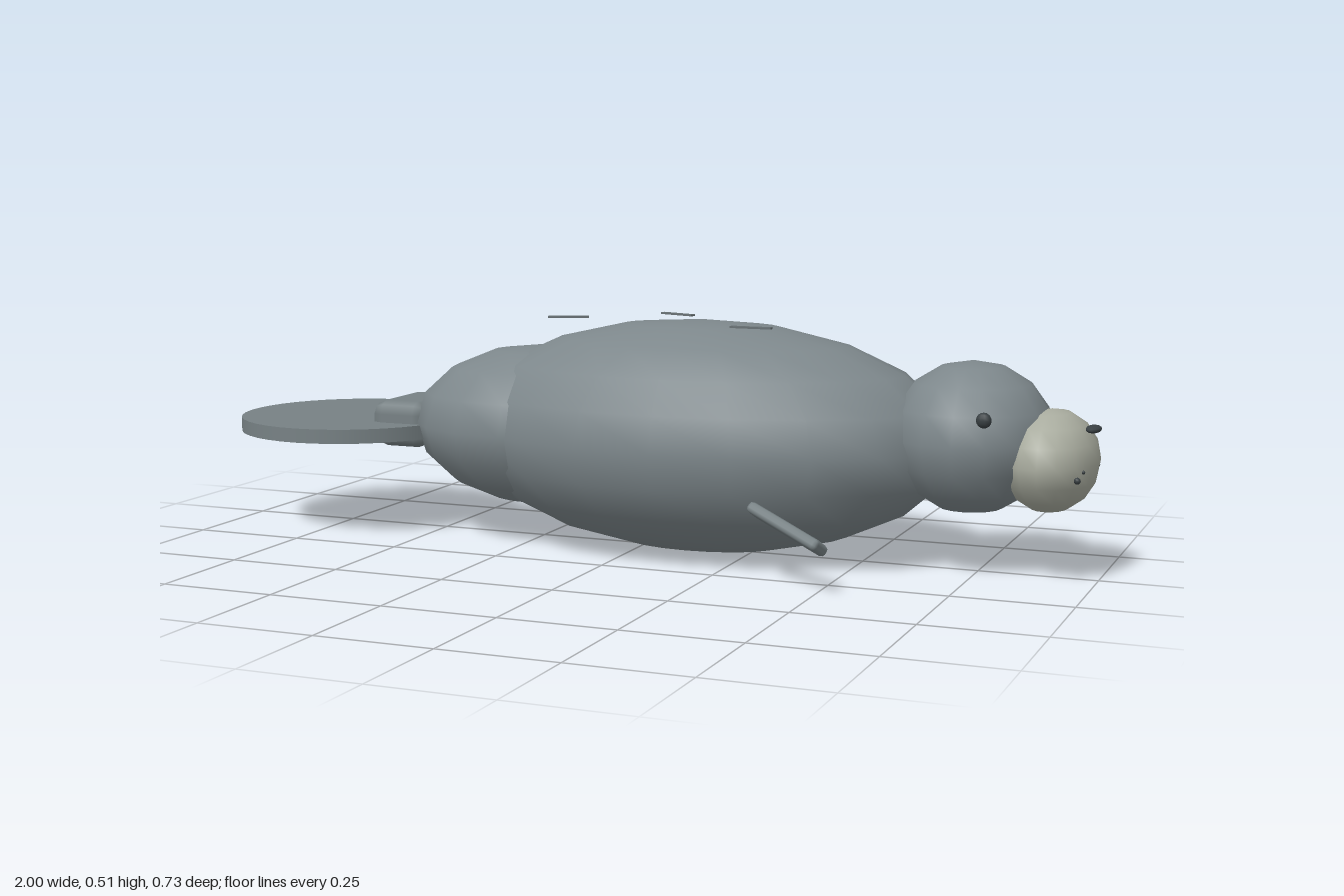
import * as THREE from 'three';
import { RoundedBoxGeometry } from 'three/addons/geometries/RoundedBoxGeometry.js';

const paint = (name, color) => {
  const m = new THREE.MeshStandardMaterial({ color });
  m.name = name;
  return m;
};

export function createModel() {
  const model = new THREE.Group();
  model.name = 'seaCow';

  const skin = paint('greySkin', 0x7d878b);
  const fin = paint('finGrey', 0x778184);
  const muzzle = paint('paleMuzzle', 0xa9ac9f);
  const dark = paint('darkGrey', 0x394043);
  const scar = paint('scarGrey', 0x687174);

  const add = (name, geometry, material, x, y, z) => {
    const mesh = new THREE.Mesh(geometry, material);
    mesh.name = name;
    mesh.position.set(x, y, z);
    model.add(mesh);
    return mesh;
  };
  // Ellipsoid with its radii baked into the geometry
  const blob = (name, material, [x, y, z], [rx, ry, rz], w = 16, h = 8) =>
    add(name, new THREE.SphereGeometry(1, w, h).scale(rx, ry, rz), material, x, y, z);

  // Body, head and muzzle
  blob('body', skin, [0.13, 0.257, 0], [0.565, 0.253, 0.31], 20, 10);
  blob('hindBody', skin, [-0.25, 0.26, 0], [0.3, 0.18, 0.235]);
  blob('head', skin, [0.73, 0.287, 0], [0.172, 0.16, 0.18]);
  blob('muzzle', muzzle, [0.895, 0.248, 0], [0.1, 0.107, 0.148]);
  blob('nose', dark, [0.98, 0.317, 0], [0.016, 0.008, 0.033], 12, 8);

  // Tail paddle and its root
  add('tailPaddle', new THREE.CylinderGeometry(0.26, 0.26, 0.032, 40), fin, -0.74, 0.24, 0);
  add('tailRoot', new RoundedBoxGeometry(0.14, 0.105, 0.21, 1, 0.03), fin, -0.57, 0.252, 0);

  for (const side of [1, -1]) {
    const label = side > 0 ? 'front' : 'back';
    blob(label + 'Eye', dark, [0.79, 0.345, side * 0.158], [0.016, 0.016, 0.012], 10, 8);
    blob(label + 'Whisker', dark, [0.97, 0.227, side * 0.11], [0.007, 0.007, 0.007], 8, 6);
    blob(label + 'WhiskerDot', dark, [0.976, 0.24, side * 0.08], [0.004, 0.004, 0.004], 8, 6);

    // Flipper swept forward, outward and down
    const along = new THREE.Vector3(0.865, -0.277, side * 0.42).normalize();
    const across = new THREE.Vector3(0.36, -0.545, side * -0.76);
    const normal = along.clone().cross(across).normalize();
    across.crossVectors(normal, along);
    const flipper = add(label + 'Flipper', new RoundedBoxGeometry(0.2, 0.05, 0.024, 1, 0.009),
      fin, 0.4285, 0.125, side * 0.303);
    flipper.quaternion.setFromRotationMatrix(new THREE.Matrix4().makeBasis(along, across, normal));
  }

  // Thin scars above the back: x, z, turn
  [[0.033, -0.105, -0.35], [-0.165, 0.048, 0.41], [0.285, 0.12, 0]].forEach(([x, z, turn], i) => {
    add('scar' + (i + 1), new THREE.BoxGeometry(0.09, 0.004, 0.013), scar, x, 0.508, z).rotation.y = turn;
  });

  return model;
}
